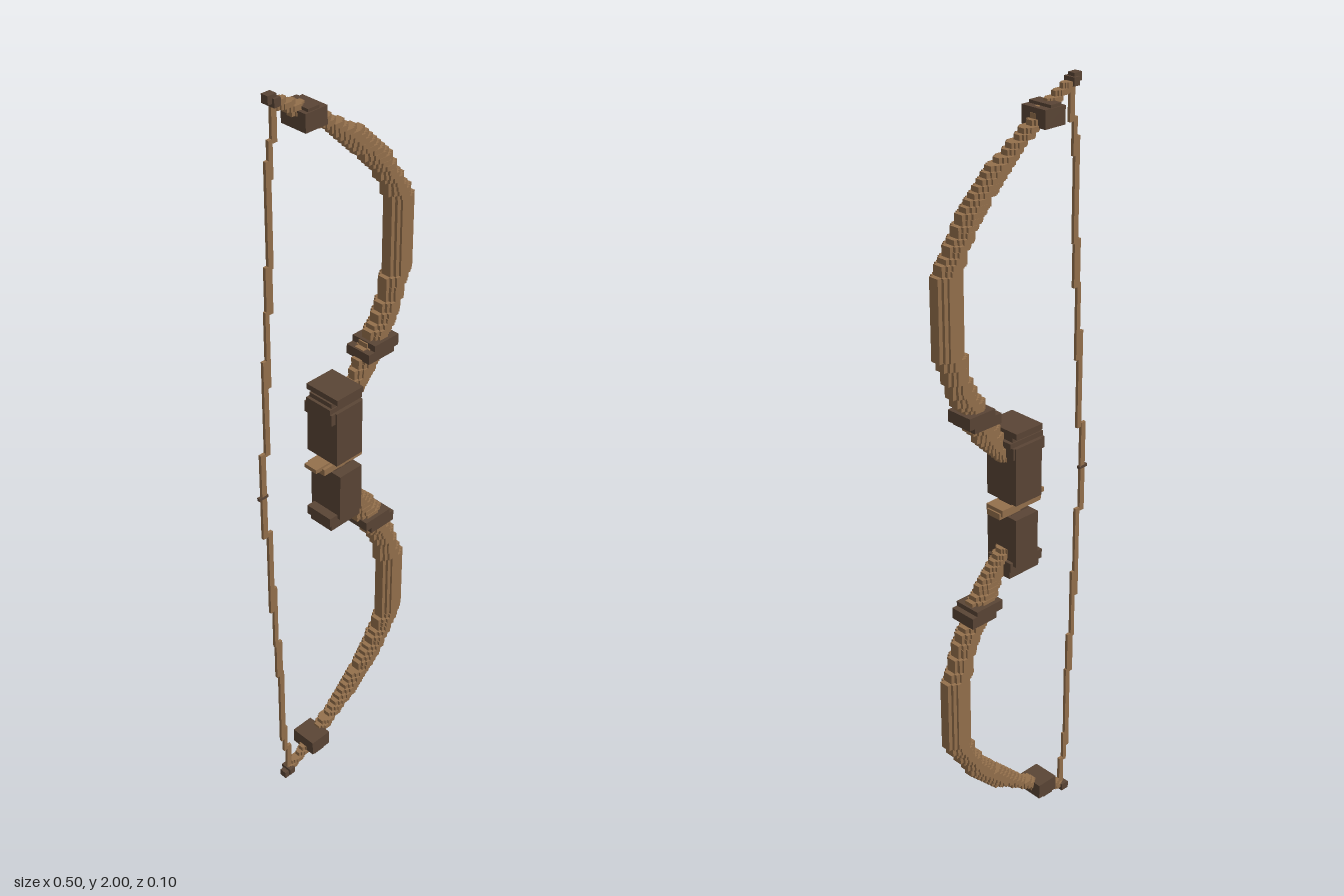
import * as THREE from 'three';

export function createModel() {
  const bow = new THREE.Group();
  bow.name = 'bow';
  const mat = (name, color) => Object.assign(new THREE.MeshStandardMaterial({ color }), { name });
  const wood = mat('wood', 0x94704c);
  const leather = mat('dark leather', 0x5a4535);

  // Box given by its extents in x and y and its half depth in z
  const block = (parent, name, m, x0, x1, y0, y1, hz) => {
    const mesh = new THREE.Mesh(new THREE.BoxGeometry(x1 - x0, Math.abs(y1 - y0), hz * 2), m);
    mesh.position.set((x0 + x1) / 2, (y0 + y1) / 2, 0);
    mesh.name = name;
    parent.add(mesh);
  };

  // Limb profile: height above the middle, inner x, outer x, half depth
  const profile = [
    [0.12, 0.02, 0.055, 0.02], [0.15, 0.04, 0.08, 0.02], [0.17, 0.05, 0.11, 0.02],
    [0.20, 0.058, 0.135, 0.02], [0.25, 0.085, 0.165, 0.028], [0.29, 0.11, 0.178, 0.028],
    [0.32, 0.13, 0.2, 0.028], [0.37, 0.155, 0.22, 0.028], [0.44, 0.17, 0.245, 0.028],
    [0.63, 0.173, 0.245, 0.028], [0.68, 0.158, 0.215, 0.028], [0.72, 0.13, 0.188, 0.028],
    [0.77, 0.088, 0.158, 0.024], [0.81, 0.045, 0.12, 0.022], [0.84, 0.01, 0.08, 0.022],
    [0.87, -0.022, 0.028, 0.02], [0.90, -0.065, -0.015, 0.02], [0.94, -0.13, -0.065, 0.016],
    [0.97, -0.165, -0.125, 0.012], [0.985, -0.182, -0.152, 0.01],
  ];
  const sample = (d) => {
    let i = 1;
    while (i < profile.length - 1 && profile[i][0] < d) i++;
    const a = profile[i - 1], b = profile[i];
    const t = THREE.MathUtils.clamp((d - a[0]) / (b[0] - a[0]), 0, 1);
    return a.map((v, k) => THREE.MathUtils.lerp(v, b[k], t));
  };
  const snap = (v) => Math.round(v / 0.0125) * 0.0125 - 0.004;

  // String pieces: start height, end height, x range
  const stringSteps = [
    [0, 0.125, -0.241, -0.226], [0.115, 0.375, -0.225, -0.211], [0.3, 0.5, -0.214, -0.202],
    [0.49, 0.61, -0.21, -0.19], [0.6, 0.855, -0.201, -0.186], [0.81, 0.9, -0.192, -0.18],
    [0.89, 0.985, -0.182, -0.167],
  ];

  for (const s of [1, -1]) {
    const limb = new THREE.Group();
    limb.name = s > 0 ? 'upperLimb' : 'lowerLimb';
    bow.add(limb);
    const add = (name, m, x0, x1, d0, d1, hz) => block(limb, name, m, x0, x1, 1 + s * d0, 1 + s * d1, hz);

    // Stepped limb: each layer is a narrow long core inside shorter, wider slabs
    const h = 0.0125;
    for (let d = 0.12; d < 0.982; d += h) {
      const [, inner, outer, hz] = sample(d + h / 2);
      const x0 = snap(inner), x1 = Math.max(snap(outer), x0 + 0.0125), w = x1 - x0;
      add('limbCore', wood, x0, x1, d, d + h, hz * 0.5);
      add('limbSide', wood, x0 + w * 0.14, x1 - w * 0.14, d, d + h, hz * 0.78);
      add('limbBelly', wood, x0 + w * 0.28, x1 - w * 0.28, d, d + h, hz);
    }

    // Dark wraps and tip
    add('limbWrap', leather, 0.08, 0.165, 0.242, 0.268, 0.037);
    add('limbWrap', leather, 0.1, 0.18, 0.255, 0.285, 0.037);
    add('tipWrap', leather, -0.118, -0.055, 0.902, 0.945, 0.037);
    add('tipWrap', leather, -0.108, -0.075, 0.91, 0.952, 0.034);
    add('tip', leather, -0.196, -0.172, 0.98, 1.0, 0.01);
    add('tipCap', leather, -0.184, -0.166, 0.972, 0.992, 0.016);

    // Stepped bowstring
    for (const [d0, d1, x0, x1] of stringSteps) add('bowstring', wood, x0, x1, d0, d1, 0.004);
  }
  block(bow, 'stringNock', leather, -0.25, -0.222, 0.996, 1.004, 0.004);

  // Upper grip with its stepped collar
  block(bow, 'upperGrip', leather, -0.04, 0.046, 1.012, 1.165, 0.05);
  block(bow, 'upperCollar', leather, -0.053, 0.05, 1.135, 1.165, 0.046);
  block(bow, 'upperCollar', leather, -0.045, 0.045, 1.16, 1.19, 0.037);
  block(bow, 'upperCollar', leather, -0.053, 0.055, 1.165, 1.178, 0.04);
  block(bow, 'upperCap', leather, -0.04, 0.046, 1.19, 1.205, 0.052);

  // Lower grip with its stepped collar
  block(bow, 'lowerGrip', leather, -0.028, 0.046, 0.84, 0.972, 0.05);
  block(bow, 'lowerCollar', leather, -0.053, 0.055, 0.825, 0.85, 0.04);
  block(bow, 'lowerCap', leather, -0.045, 0.055, 0.806, 0.826, 0.036);

  // Arrow rest between the two grips
  block(bow, 'gripCore', leather, -0.02, 0.035, 0.965, 1.015, 0.022);
  block(bow, 'arrowRest', wood, -0.08, -0.02, 0.995, 1.006, 0.02);
  block(bow, 'arrowRest', wood, -0.06, 0.07, 0.982, 1.0, 0.028);
  block(bow, 'arrowRest', wood, 0.0, 0.074, 0.974, 0.99, 0.022);
  return bow;
}
